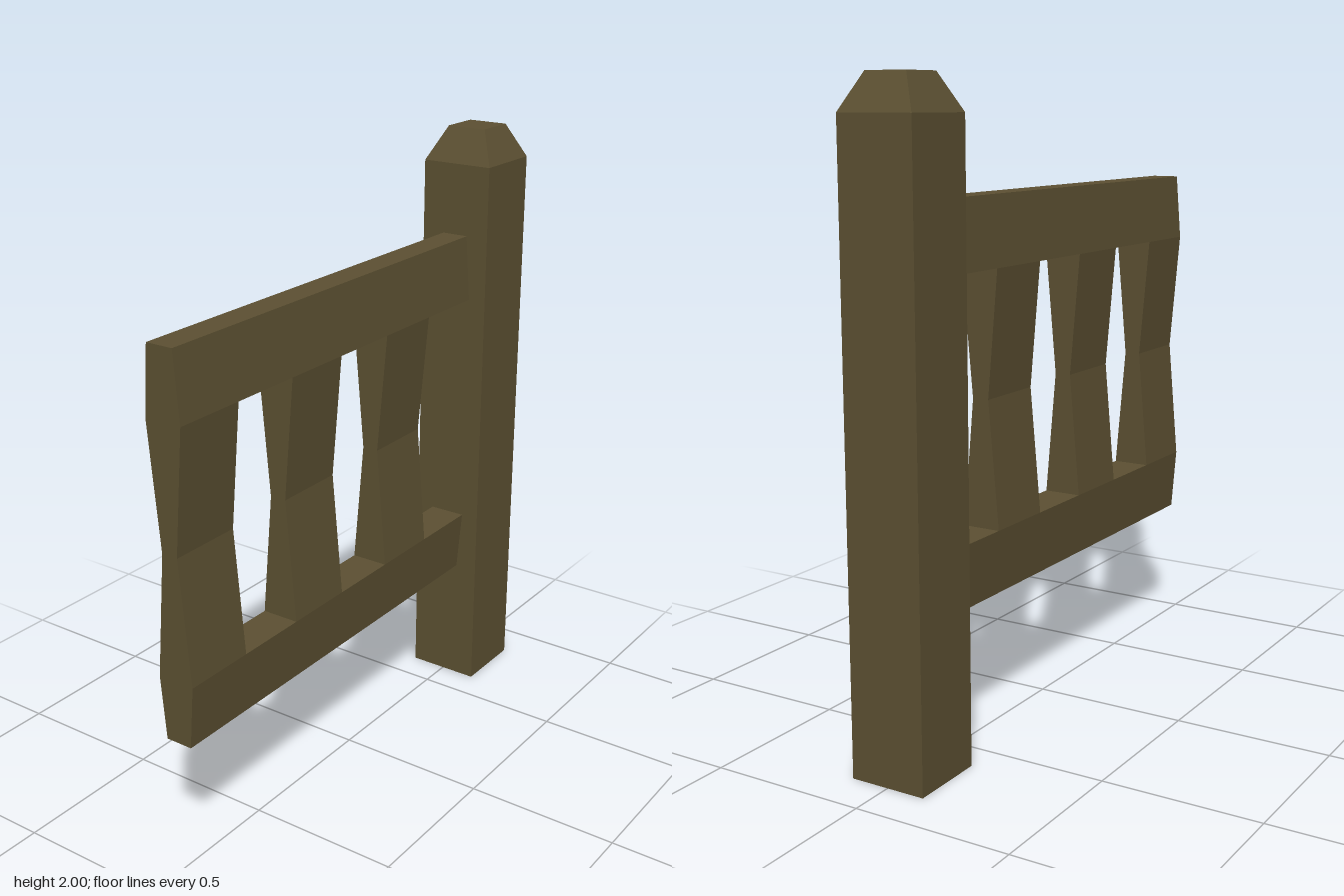
import * as THREE from 'three';

const wood = new THREE.MeshStandardMaterial({ color: 0x5c5032, flatShading: true });

// Half thickness of the panel at each height
const railBottom = [[0.045, 0.44], [0.062, 0.645]];
const railTop = [[0.062, 1.44], [0.045, 1.655]];
const baluster = [[0.062, 0.645], [0.027, 1.045], [0.062, 1.44]];

// Mirrors a half profile across x = 0 and runs it from z0 to z1
function bar(name, half, z0, z1) {
  const outline = [
    ...half.map(([x, y]) => new THREE.Vector2(x, y)),
    ...[...half].reverse().map(([x, y]) => new THREE.Vector2(-x, y)),
  ];
  const geometry = new THREE.ExtrudeGeometry(new THREE.Shape(outline), {
    depth: z1 - z0,
    bevelEnabled: false,
  });
  geometry.translate(0, 0, z0);
  const mesh = new THREE.Mesh(geometry, wood);
  mesh.name = name;
  return mesh;
}

export function createModel() {
  const group = new THREE.Group();
  group.name = 'fenceSection';

  // Square post with a chamfered top
  const profile = [[0, 0], [0.123, 0], [0.123, 1.89], [0.068, 2], [0, 2]]
    .map(([x, y]) => new THREE.Vector2(x * Math.SQRT2, y));
  const postGeometry = new THREE.LatheGeometry(profile, 4, Math.PI / 4).toNonIndexed();
  postGeometry.computeVertexNormals();
  const post = new THREE.Mesh(postGeometry, wood);
  post.name = 'post';
  post.position.z = -0.733;
  group.add(post);

  // Rails running forward from the post
  group.add(bar('lowerRail', railBottom, -0.61, 0.856));
  group.add(bar('upperRail', railTop, -0.61, 0.856));

  // Three balusters, pinched at mid height
  for (let i = 0; i < 3; i++) {
    const z1 = 0.856 - i * 0.487;
    group.add(bar(`baluster${i + 1}`, baluster, z1 - 0.242, z1));
  }
  return group;
}
